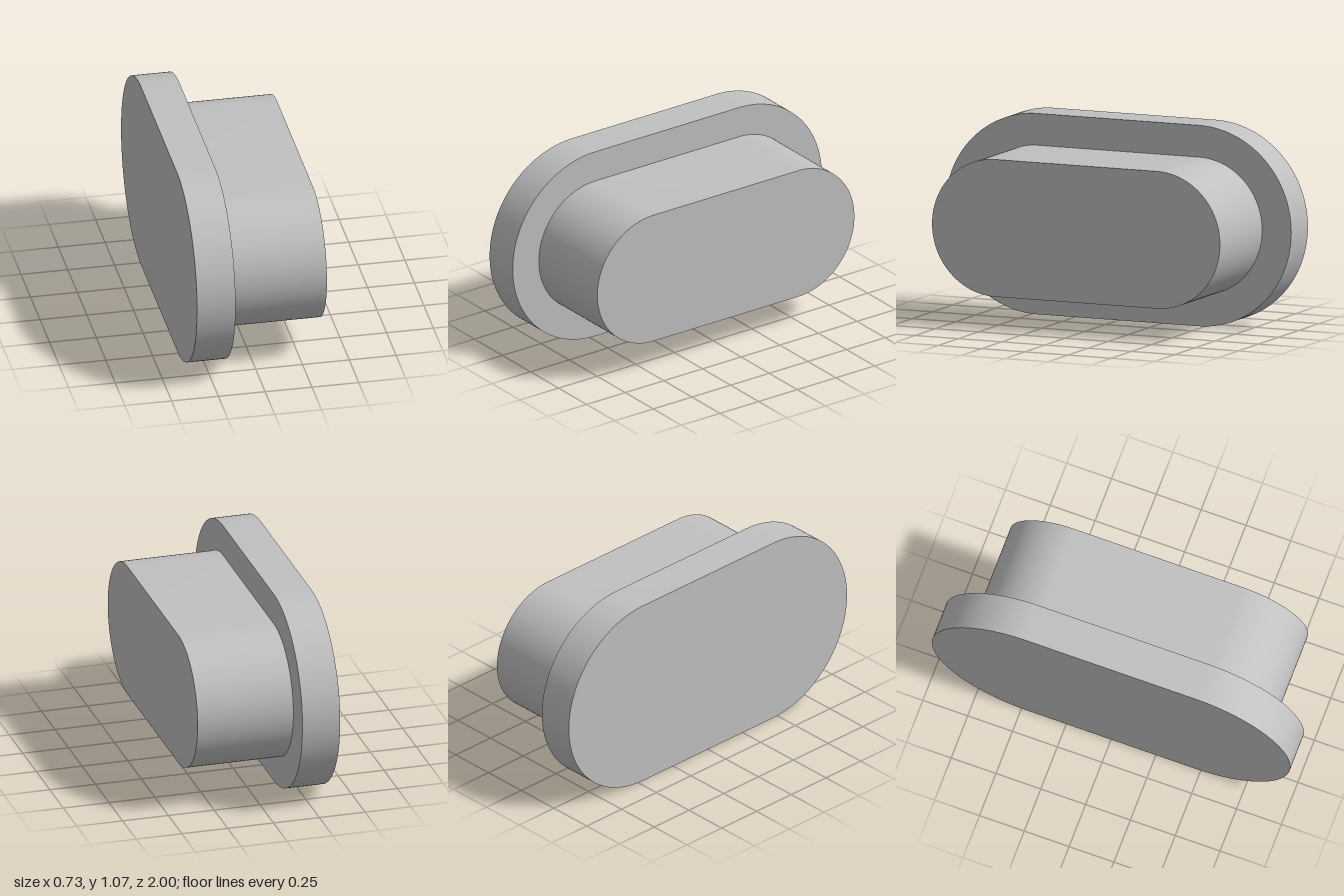
import * as THREE from 'three';
import { toCreasedNormals } from 'three/addons/utils/BufferGeometryUtils.js';

const CENTRE_Y = 0.5325; // height of the shared axis
const HALF_SPAN = 0.4675; // distance from the middle to each rounded end's centre

// Stadium outline: two half circles joined by straight sides
function stadium(radius) {
  const shape = new THREE.Shape();
  shape.absarc(HALF_SPAN, 0, radius, -Math.PI / 2, Math.PI / 2, false);
  shape.absarc(-HALF_SPAN, 0, radius, Math.PI / 2, Math.PI * 1.5, false);
  shape.closePath();
  return shape;
}

// Solid stadium running along x from x0 to x1
function stadiumBlock(name, radius, x0, x1, material) {
  const extruded = new THREE.ExtrudeGeometry(stadium(radius), {
    depth: x1 - x0,
    bevelEnabled: false,
    curveSegments: 48,
  });
  extruded.rotateY(Math.PI / 2);
  extruded.translate(x0, CENTRE_Y, 0);
  const mesh = new THREE.Mesh(toCreasedNormals(extruded, Math.PI / 6), material);
  mesh.name = name;
  return mesh;
}

export function createModel() {
  const grey = new THREE.MeshStandardMaterial({ color: 0xc0c0c0 });
  grey.name = 'light grey';

  const model = new THREE.Group();
  model.name = 'flangedPlug';
  // Wide flange, then the narrower plug body
  model.add(stadiumBlock('flange', 0.5325, -0.364, -0.158, grey));
  model.add(stadiumBlock('plugBody', 0.364, -0.158, 0.364, grey));
  return model;
}
